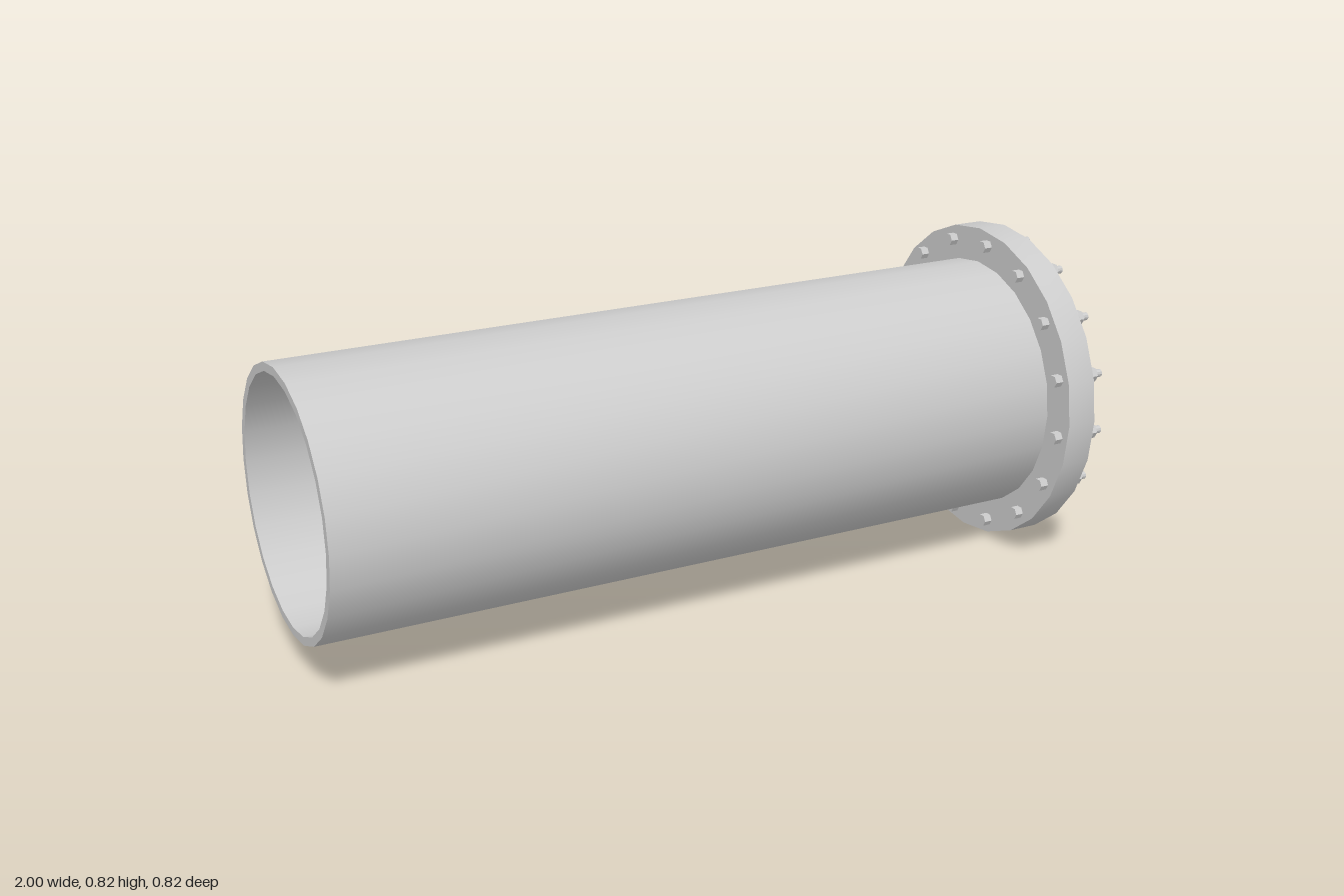
import * as THREE from 'three';
import { toCreasedNormals } from 'three/addons/utils/BufferGeometryUtils.js';

const CY = 0.412; // height of the pipe axis
const material = new THREE.MeshStandardMaterial({ color: 0xcccccc });

function addMesh(parent, name, geometry) {
  const mesh = new THREE.Mesh(geometry, material);
  mesh.name = name;
  parent.add(mesh);
  return mesh;
}

// Hollow ring along x, from x0 to x1
function ringGeometry(inner, outer, x0, x1, sides) {
  const profile = [[inner, x0], [outer, x0], [outer, x1], [inner, x1], [inner, x0]]
    .map(([r, x]) => new THREE.Vector2(r, x));
  const geometry = new THREE.LatheGeometry(profile, sides).rotateZ(-Math.PI / 2);
  return toCreasedNormals(geometry, 0.6);
}

// Solid round or hexagonal piece along x, from x0 to x1
function rodGeometry(radius, x0, x1, sides) {
  const geometry = new THREE.CylinderGeometry(radius, radius, x1 - x0, sides)
    .rotateZ(-Math.PI / 2).translate((x0 + x1) / 2, 0, 0);
  return toCreasedNormals(geometry, 0.9);
}

export function createModel() {
  const model = new THREE.Group();
  model.name = 'flangedPipe';

  // Pipe and end flange
  const body = new THREE.Group();
  body.name = 'pipeBody';
  body.position.y = CY;
  model.add(body);
  addMesh(body, 'pipe', ringGeometry(0.303, 0.324, -1, 0.948, 24));
  addMesh(body, 'flange', ringGeometry(0.322, 0.412, 0.874, 0.952, 24));

  // Sixteen bolts around the flange
  const parts = {
    boltHead: rodGeometry(0.016, 0.853, 0.875, 6),
    washer: rodGeometry(0.029, 0.951, 0.957, 16),
    nut: rodGeometry(0.019, 0.957, 0.98, 6),
    boltShank: rodGeometry(0.010, 0.86, 1, 10),
  };
  for (let i = 0; i < 16; i++) {
    const angle = THREE.MathUtils.degToRad(6 + i * 22.5);
    const bolt = new THREE.Group();
    bolt.name = 'bolt';
    bolt.position.set(0, 0.376 * Math.cos(angle), 0.376 * Math.sin(angle));
    for (const [name, geometry] of Object.entries(parts)) addMesh(bolt, name, geometry);
    body.add(bolt);
  }

  // Grille across the mouth: five uprights and one crossbar
  const grille = new THREE.Group();
  grille.name = 'grille';
  grille.position.x = 0.955;
  model.add(grille);
  const bottom = 0.12;
  for (let i = -2; i <= 2; i++) {
    const height = 0.607 - 0.052 * Math.abs(i) - bottom;
    const bar = addMesh(grille, 'verticalBar', new THREE.CylinderGeometry(0.0075, 0.0075, height, 10));
    bar.position.set(0, bottom + height / 2, i * 0.118);
  }
  const crossbar = addMesh(grille, 'crossbar',
    new THREE.CylinderGeometry(0.007, 0.007, 0.55, 10).rotateX(Math.PI / 2));
  crossbar.position.y = 0.283;

  return model;
}
